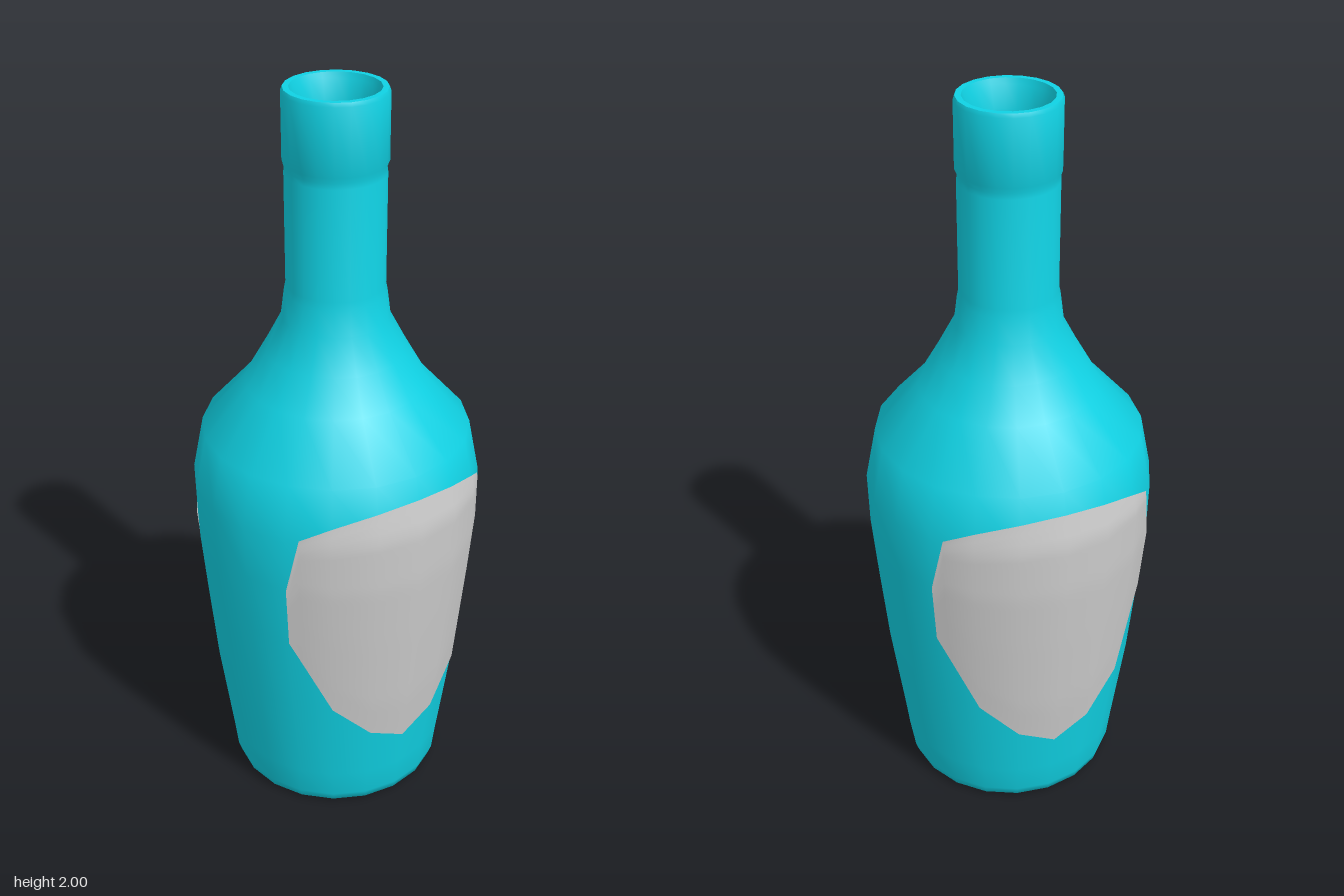
import * as THREE from 'three';
import { toCreasedNormals } from 'three/addons/utils/BufferGeometryUtils.js';

const SIDES = 20;
const STEP = (Math.PI * 2) / SIDES;

// Outer wall, from the base edge up to the lip: [radius, y]
const OUTER = [
  [0.275, 0], [0.292, 0.01], [0.3, 0.035], [0.31, 0.12], [0.345, 0.39], [0.366, 0.62],
  [0.381, 0.8], [0.384, 0.95], [0.354, 1.1], [0.238, 1.23], [0.187, 1.32], [0.14, 1.41],
  [0.131, 1.48], [0.127, 1.5], [0.127, 1.79], [0.125, 1.805], [0.131, 1.82], [0.131, 1.99], [0.127, 2],
];
// Lip and hollow inside, from the top down to the inner floor
const INNER = [
  [0.112, 2], [0.107, 1.985], [0.09, 1.93], [0.09, 1.45], [0.2, 1.22],
  [0.325, 1.08], [0.352, 0.95], [0.315, 0.4], [0.275, 0.04],
];
// Label outline: [angle in degrees, bottom y, top y]
const LABEL = [[0, 0.235, 1.04], [18, 0.285, 1.03], [36, 0.39, 1.0], [48.7, 0.55, 0.96], [54, 0.62, 0.8]];

// Wall radius at a height, on the flat between two columns
function wallRadius(y, angle) {
  const i = Math.max(1, OUTER.findIndex((p) => p[1] >= y));
  const [r0, y0] = OUTER[i - 1];
  const [r1, y1] = OUTER[i];
  const r = THREE.MathUtils.lerp(r0, r1, (y - y0) / (y1 - y0));
  const offset = angle - (Math.floor(angle / STEP + 1e-6) + 0.5) * STEP;
  return (r * Math.cos(STEP / 2)) / Math.cos(offset);
}

// Thin shield-shaped skin that follows the wall
function labelGeometry() {
  const rows = 28;
  const mirrored = LABEL.slice(1).reverse().map(([a, lo, hi]) => [-a, lo, hi]);
  const columns = [...mirrored, ...LABEL];
  const positions = [];
  const index = [];
  columns.forEach(([degrees, lo, hi], c) => {
    const angle = THREE.MathUtils.degToRad(degrees);
    for (let j = 0; j <= rows; j++) {
      const y = THREE.MathUtils.lerp(lo, hi, j / rows);
      const r = wallRadius(y, angle) + 0.003;
      positions.push(r * Math.sin(angle), y, r * Math.cos(angle));
      if (c < columns.length - 1 && j < rows) {
        const a = c * (rows + 1) + j;
        const b = a + rows + 1;
        index.push(a, b, b + 1, a, b + 1, a + 1);
      }
    }
  });
  const geometry = new THREE.BufferGeometry();
  geometry.setAttribute('position', new THREE.Float32BufferAttribute(positions, 3));
  geometry.setIndex(index);
  geometry.computeVertexNormals();
  return geometry;
}

export function createModel() {
  const group = new THREE.Group();
  group.name = 'bottle';

  // Glass body, one closed profile turned around y
  const profile = [[0, 0], ...OUTER, ...INNER, [0, 0.04]].map(([r, y]) => new THREE.Vector2(r, y));
  const glass = new THREE.Mesh(
    toCreasedNormals(new THREE.LatheGeometry(profile, SIDES), 0.8),
    new THREE.MeshStandardMaterial({ color: 0x10d2e4 }),
  );
  glass.name = 'glassBody';
  group.add(glass);

  // Labels on the front and the back
  const paper = new THREE.MeshStandardMaterial({ color: 0xcccccc, side: THREE.DoubleSide });
  const geometry = labelGeometry();
  ['frontLabel', 'backLabel'].forEach((name, i) => {
    const label = new THREE.Mesh(geometry, paper);
    label.name = name;
    label.rotation.y = i * Math.PI;
    group.add(label);
  });
  return group;
}
